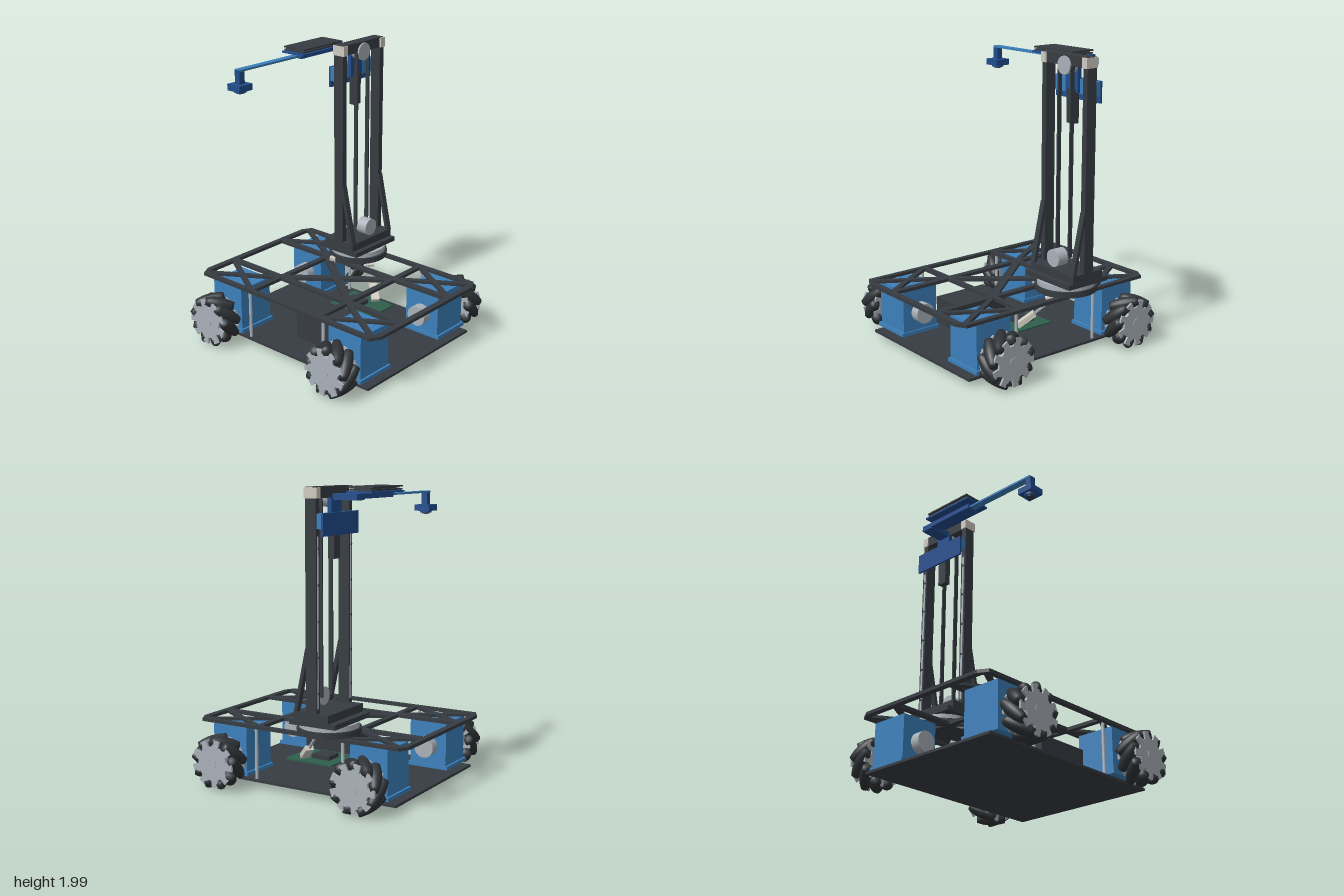
import * as THREE from 'three';

const mat = (name, color, side = THREE.FrontSide) => {
  const m = new THREE.MeshStandardMaterial({ color, side });
  m.name = name;
  return m;
};

export function createModel() {
  const dark = mat('charcoal', 0x373c42);
  const rubber = mat('rubber', 0x2e3236);
  const blue = mat('blue', 0x3c80bb);
  const navy = mat('navy', 0x214c8c);
  const metal = mat('metal', 0xa9b1b9);
  const cream = mat('cream', 0xcfcbc0);
  const green = mat('circuit green', 0x2f5f4c);

  const model = new THREE.Group();
  model.name = 'wheeledRobot';
  const group = (name) => {
    const g = new THREE.Group();
    g.name = name;
    model.add(g);
    return g;
  };
  const add = (parent, name, geo, material, x = 0, y = 0, z = 0) => {
    const m = new THREE.Mesh(geo, material);
    m.name = name;
    m.position.set(x, y, z);
    parent.add(m);
    return m;
  };
  // box given by its limits on each axis
  const box = (parent, name, material, x0, x1, y0, y1, z0, z1) =>
    add(parent, name, new THREE.BoxGeometry(x1 - x0, y1 - y0, z1 - z0), material,
      (x0 + x1) / 2, (y0 + y1) / 2, (z0 + z1) / 2);
  const cyl = (parent, name, material, r, len, x, y, z, axis = 'y') => {
    const g = new THREE.CylinderGeometry(r, r, len, 40);
    if (axis === 'x') g.rotateZ(Math.PI / 2);
    if (axis === 'z') g.rotateX(Math.PI / 2);
    return add(parent, name, g, material, x, y, z);
  };
  // square or flat strut between two points
  const strut = (parent, name, material, a, b, w, h) => {
    const p = new THREE.Vector3(...a), q = new THREE.Vector3(...b);
    const m = add(parent, name, new THREE.BoxGeometry(w, h, p.distanceTo(q)), material);
    m.position.copy(p).add(q).multiplyScalar(0.5);
    m.lookAt(q);
    return m;
  };

  // chassis: floor, upper truss, standoffs
  const chassis = group('chassis');
  box(chassis, 'floorPlate', dark, -0.54, 0.54, 0.043, 0.06, -0.73, 0.73);
  const frame = group('upperFrame');
  const rail = (x0, z0, x1, z1, w, h = 0.022) =>
    strut(frame, 'frameRail', dark, [x0, 0.42, z0], [x1, 0.42, z1], w, h);
  for (const s of [-1, 1]) {
    rail(s * 0.54, -0.755, s * 0.54, 0.755, 0.036);
    rail(-0.49, s * 0.773, 0.49, s * 0.773, 0.042);
    rail(s * 0.245, -0.76, s * 0.245, 0.76, 0.045);
    rail(-0.54, s * 0.305, 0.54, s * 0.305, 0.04);
    rail(-0.235, s * -0.3, 0.235, s * 0.3, 0.055, 0.02);
    for (const t of [-1, 1]) {
      rail(s * 0.545, t * 0.74, s * 0.475, t * 0.78, 0.036);
      rail(s * 0.255, t * 0.315, s * 0.53, t * 0.76, 0.036, 0.02);
      rail(s * 0.53, t * 0.315, s * 0.255, t * 0.76, 0.036, 0.019);
      cyl(chassis, 'standoff', metal, 0.011, 0.35, s * 0.52, 0.235, t * 0.335);
    }
  }

  // drive motors and their housings
  for (const s of [-1, 1]) for (const t of [-1, 1]) {
    const drive = group('driveUnit');
    const z = t * 0.535;
    add(drive, 'motorHousing', new THREE.BoxGeometry(0.275, 0.31, 0.27), blue, s * 0.405, 0.245, z);
    add(drive, 'housingFlange', new THREE.BoxGeometry(0.3, 0.025, 0.3), blue, s * 0.408, 0.09, z);
    cyl(drive, 'motor', metal, 0.07, 0.07, s * 0.235, 0.23, z, 'x');
  }

  // omnidirectional wheels: slanted barrel rollers between toothed hub plates
  const N = 9, R = 0.18, C = 0.137, L = 0.098;
  const profile = [new THREE.Vector2(0, -L)];
  for (let i = 0; i <= 10; i++) {
    const t = -L + (2 * L * i) / 10;
    profile.push(new THREE.Vector2(R - Math.hypot(C, t * Math.SQRT1_2), t));
  }
  profile.push(new THREE.Vector2(0, L));
  const rollerGeo = new THREE.LatheGeometry(profile, 18);
  const plateShape = new THREE.Shape();
  for (let i = 0; i < N; i++) {
    [[-0.26, 0.115], [-0.2, 0.162], [0.12, 0.162], [0.2, 0.115]].forEach(([da, r], k) => {
      const a = (i * 2 * Math.PI) / N + da;
      plateShape[i + k ? 'lineTo' : 'moveTo'](r * Math.cos(a), r * Math.sin(a));
    });
  }
  plateShape.closePath();
  const plateGeo = new THREE.ExtrudeGeometry(plateShape, { depth: 0.014, bevelEnabled: false });
  plateGeo.translate(0, 0, -0.007).rotateY(Math.PI / 2);
  for (const s of [-1, 1]) for (const t of [-1, 1]) {
    const wheel = group('wheel');
    wheel.position.set(s * 0.665, 0.185, t * 0.535);
    for (let i = 0; i < N; i++) {
      const arm = new THREE.Group();
      arm.name = 'rollerMount';
      arm.rotation.x = ((i + 0.5) * 2 * Math.PI) / N;
      const roller = add(arm, 'roller', rollerGeo, rubber, 0, C, 0);
      roller.quaternion.setFromUnitVectors(new THREE.Vector3(0, 1, 0),
        new THREE.Vector3(1, 0, s * t).normalize());
      wheel.add(arm);
    }
    add(wheel, 'outerHubPlate', plateGeo, metal, s * 0.072);
    add(wheel, 'innerHubPlate', plateGeo, metal, -s * 0.06);
    cyl(wheel, 'hubCore', metal, 0.085, 0.13, 0, 0, 0, 'x');
    cyl(wheel, 'hubCap', metal, 0.035, 0.012, s * 0.077, 0, 0, 'x');
  }

  // electronics
  const electronics = group('electronics');
  box(electronics, 'battery', dark, -0.345, -0.09, 0.08, 0.27, -0.068, 0.34);
  box(electronics, 'circuitBoard', green, 0.025, 0.33, 0.162, 0.172, -0.13, 0.235);
  box(electronics, 'processor', dark, 0.12, 0.24, 0.172, 0.2, -0.055, 0.08);

  // slanted actuator below the turntable
  const act = group('actuator');
  strut(act, 'actuatorBody', cream, [0.275, 0.19, 0.12], [0.345, 0.275, 0.03], 0.055, 0.035);
  strut(act, 'actuatorRod', metal, [0.34, 0.27, 0.035], [0.425, 0.38, -0.07], 0.014, 0.014);
  strut(act, 'actuatorHead', cream, [0.39, 0.38, -0.025], [0.44, 0.4, -0.1], 0.05, 0.016);
  const tab = box(act, 'turntableTab', cream, 0.185, 0.235, 0.41, 0.45, -0.25, -0.21);
  tab.rotation.y = 0.6;

  // turntable
  const cx = 0.425, cz = -0.175;
  const turn = group('turntable');
  cyl(turn, 'turntableBase', dark, 0.21, 0.04, cx, 0.45, cz);
  cyl(turn, 'bearing', metal, 0.195, 0.036, cx, 0.486, cz);
  box(turn, 'turntablePlate', dark, 0.21, 0.64, 0.504, 0.537, -0.35, -0.008);
  box(turn, 'towerFoot', dark, 0.212, 0.638, 0.537, 0.59, -0.3, -0.045);

  // tower
  const tower = group('tower');
  for (const s of [-1, 1]) {
    const x = cx + s * 0.195;
    box(tower, 'post', dark, x - 0.02, x + 0.02, 0.59, 1.94, -0.215, -0.137);
    box(tower, 'postCap', cream, x - 0.022, x + 0.022, 1.93, 1.997, -0.222, -0.127);
    strut(tower, 'brace', dark, [x, 0.585, -0.055], [x, 1.0, -0.145], 0.04, 0.024);
    box(tower, 'slideRail', metal, x - 0.008, x + 0.008, 0.62, 1.7, -0.218, -0.212);
    for (let i = 0; i < 5; i++)
      cyl(tower, 'railScrew', dark, 0.008, 0.012, x, 0.72 + i * 0.227, -0.217, 'z');
  }
  box(tower, 'topBar', dark, 0.245, 0.605, 1.93, 1.996, -0.215, -0.14);
  box(tower, 'topPlate', dark, 0.215, 0.635, 1.996, 2.0, -0.218, -0.137);

  // belt lift
  const lift = group('beltLift');
  cyl(lift, 'liftMotor', metal, 0.06, 0.085, cx, 0.662, -0.098, 'z');
  cyl(lift, 'topPulley', metal, 0.06, 0.07, cx, 1.93, -0.163, 'z');
  for (const s of [-1, 1])
    box(lift, 'belt', dark, cx + s * 0.06 - 0.005, cx + s * 0.06 + 0.005, 0.662, 1.93, -0.165, -0.135);

  // carriage with rear plate and bracket
  const carriage = group('carriage');
  box(carriage, 'carriageBlock', blue, 0.215, 0.638, 1.745, 1.84, -0.252, -0.218);
  box(carriage, 'carriagePlate', navy, 0.215, 0.638, 1.7, 1.842, -0.266, -0.252);
  box(carriage, 'gripMotor', dark, 0.39, 0.46, 1.55, 1.77, -0.234, -0.19);
  box(carriage, 'bracketColumn', navy, 0.367, 0.483, 1.75, 1.93, -0.23, -0.2);
  box(carriage, 'bracketArm', navy, 0.37, 0.46, 1.915, 1.955, -0.4, -0.222);

  // sensor deck and boom
  const boom = group('cameraBoom');
  box(boom, 'deckMount', navy, 0, 0.38, 1.923, 1.955, -0.4, -0.32);
  box(boom, 'deckPlate', navy, -0.045, 0.37, 1.955, 1.967, -0.455, -0.265);
  box(boom, 'deckSpacer', dark, 0, 0.33, 1.967, 1.99, -0.42, -0.3);
  box(boom, 'lowerDeck', dark, -0.03, 0.355, 1.971, 1.98, -0.447, -0.273);
  box(boom, 'upperDeck', dark, -0.03, 0.355, 1.988, 1.998, -0.452, -0.268);
  box(boom, 'boomArm', blue, -0.55, 0.02, 1.933, 1.946, -0.385, -0.335);
  box(boom, 'boomStem', navy, -0.555, -0.51, 1.85, 1.942, -0.38, -0.337);
  box(boom, 'cameraHead', navy, -0.59, -0.475, 1.81, 1.852, -0.415, -0.303);
  cyl(boom, 'cameraCollar', navy, 0.04, 0.014, -0.532, 1.804, -0.359);
  cyl(boom, 'lens', dark, 0.026, 0.022, -0.532, 1.8, -0.359);

  return model;
}
